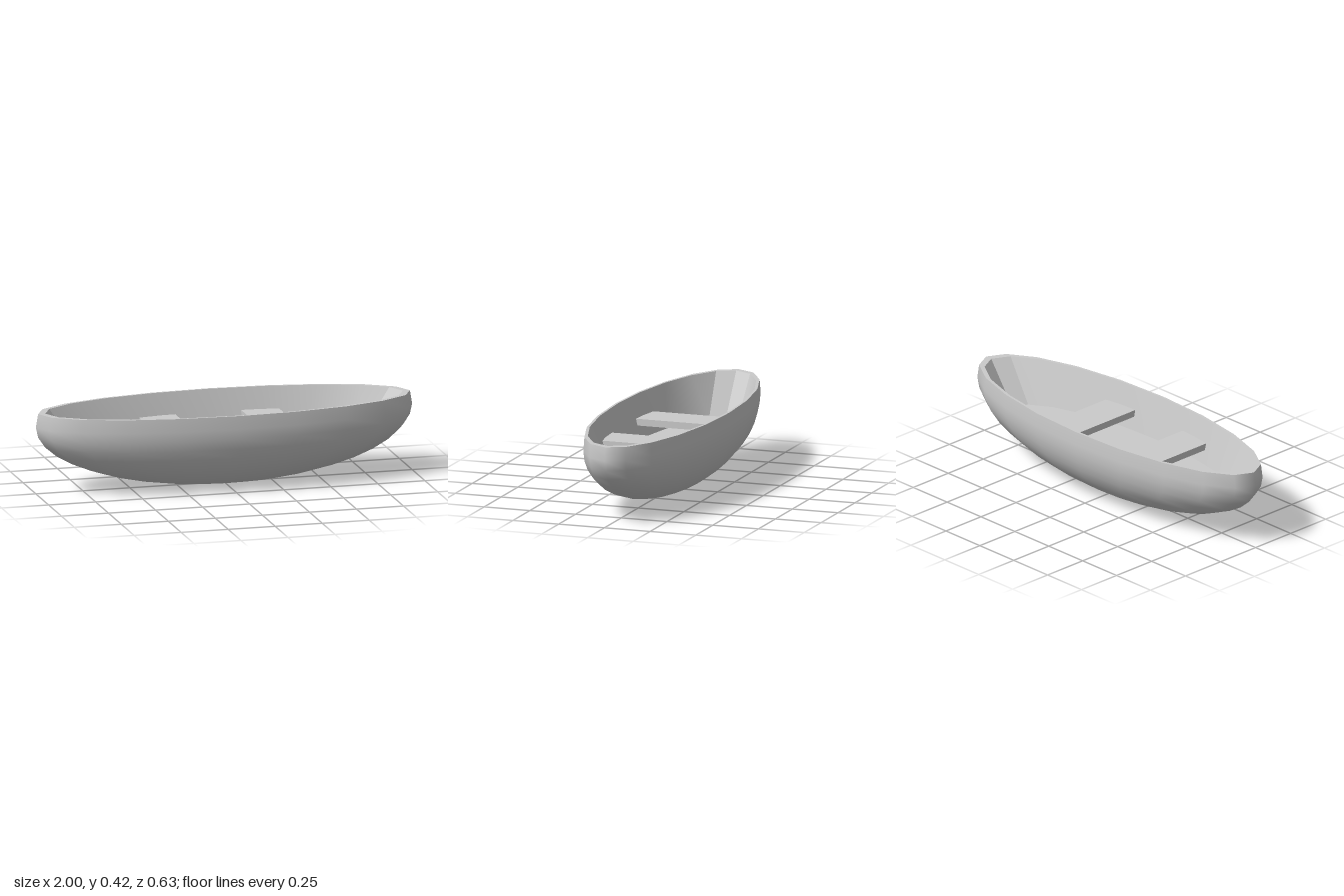
import * as THREE from 'three';
import { toCreasedNormals } from 'three/addons/utils/BufferGeometryUtils.js';

const SIDES = 20;
const BEAM = 0.316;    // half width relative to half length
const DEPTH = 0.35;    // height of the widest line above the keel
const TOP = 0.42;
const FLOOR = 0.2;

export function createModel() {
  const boat = new THREE.Group();
  const material = new THREE.MeshStandardMaterial({ color: 0xcccccc });

  const add = (name, geometry) => {
    const mesh = new THREE.Mesh(geometry, material);
    mesh.name = name;
    boat.add(mesh);
    return mesh;
  };

  // Spin a [radius, height] profile, then squeeze it to the boat's plan
  const ring = (profile) => new THREE.LatheGeometry(
    profile.map(([r, y]) => new THREE.Vector2(r, y)), SIDES).scale(1, 1, BEAM);

  // Outer hull: lower half of an ellipsoid with a short upright top strake
  const hullProfile = [];
  for (let i = 0; i <= 10; i++) {
    const a = (i / 10) * Math.PI / 2;
    hullProfile.push([Math.sin(a), DEPTH * (1 - Math.cos(a))]);
  }
  hullProfile.push([0.988, TOP]);
  add('hull', ring(hullProfile));

  // Flat rim, sloping inner walls and floor
  add('rim', toCreasedNormals(ring([[0.988, TOP], [0.95, TOP]]), 0.5));
  add('innerWall', toCreasedNormals(ring([[0.95, TOP], [0.797, FLOOR]]), 0.45));
  const floor = new THREE.CircleGeometry(0.797, SIDES);
  floor.rotateX(-Math.PI / 2).scale(1, 1, BEAM);
  add('floor', floor).position.y = FLOOR;

  // Two bench seats whose ends run into the walls
  for (const [name, x] of [['rightSeat', -0.285], ['leftSeat', 0.262]]) {
    add(name, new THREE.BoxGeometry(0.197, 0.035, 0.55)).position.set(x, 0.288, 0);
  }
  return boat;
}
